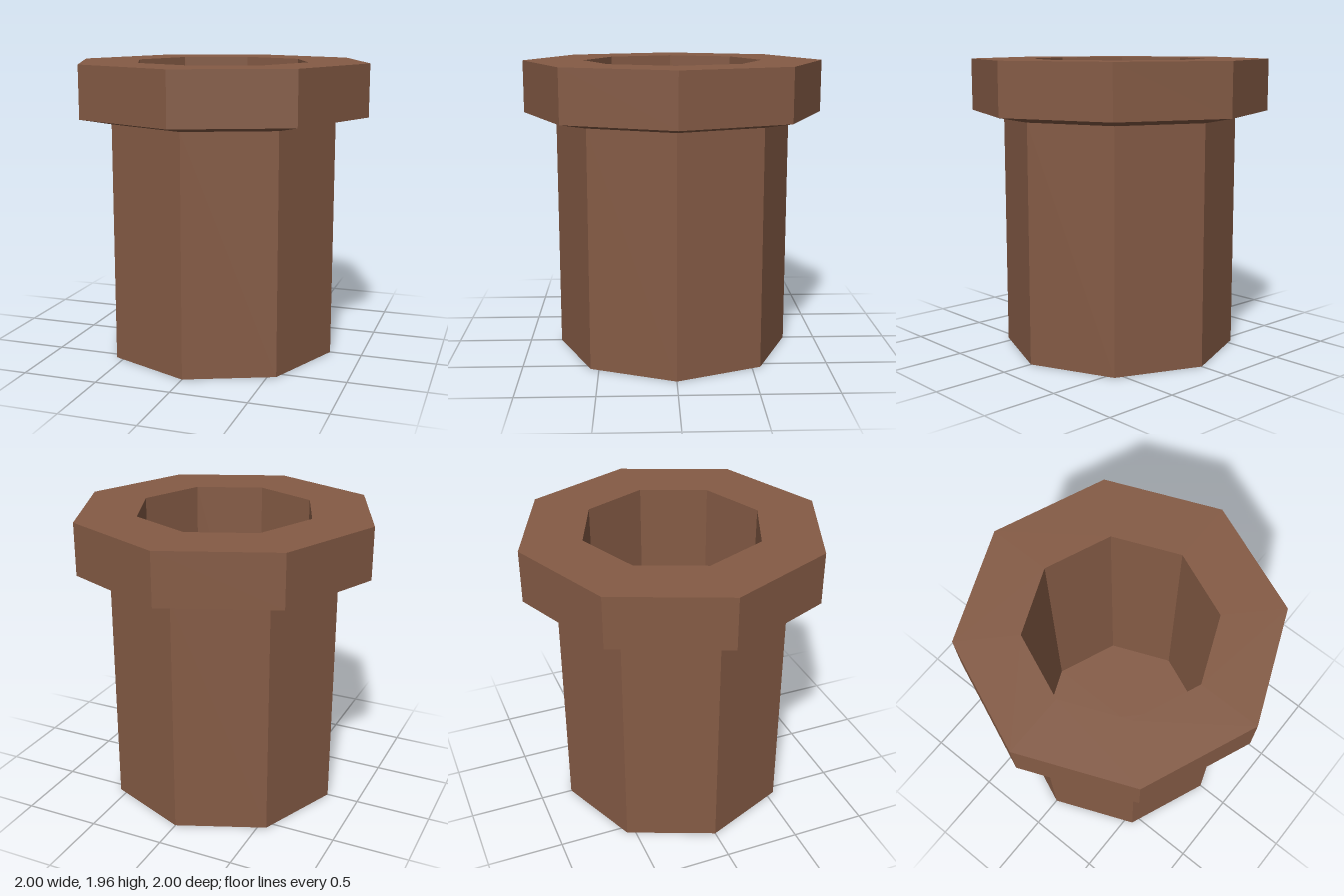
import * as THREE from 'three';

export function createModel() {
  const model = new THREE.Group();
  const clay = new THREE.MeshStandardMaterial({ color: 0x855b45, flatShading: true });
  clay.name = 'brown clay';

  // Eight-sided ring or shell from [radius, height] pairs, corners on the axes
  const addPart = (name, profile) => {
    const points = profile.map(([r, y]) => new THREE.Vector2(r, y));
    const geometry = new THREE.LatheGeometry(points, 8).toNonIndexed();
    geometry.computeVertexNormals();
    const mesh = new THREE.Mesh(geometry, clay);
    mesh.name = name;
    model.add(mesh);
  };

  // Closed base and outer wall
  addPart('body', [[0, 0], [0.785, 0], [0.785, 1.575]]);
  // Collar with sloping underside and flat top
  addPart('rim', [[0.785, 1.575], [1, 1.615], [1, 1.96], [0.595, 1.96]]);
  // Inner wall and floor
  addPart('cavity', [[0.595, 1.96], [0.595, 0.19], [0, 0.19]]);

  return model;
}
